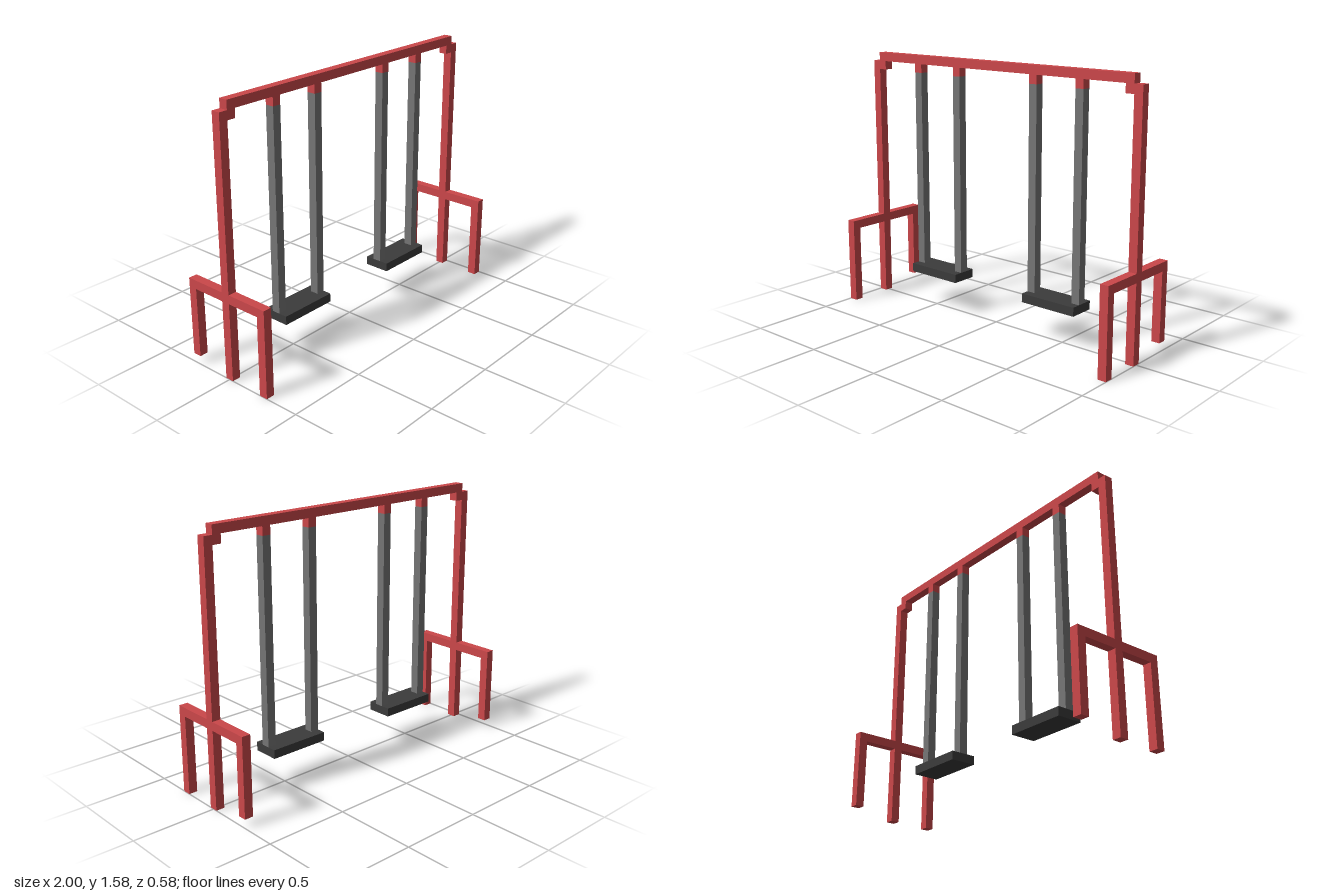
import * as THREE from 'three';

const U = 2 / 38; // one bar thickness

export function createModel() {
  const model = new THREE.Group();
  model.name = 'swingSet';

  const material = (name, color) => {
    const m = new THREE.MeshStandardMaterial({ color });
    m.name = name;
    return m;
  };
  const red = material('red frame', 0xcb474a);
  const grey = material('grey chain', 0x757575);
  const dark = material('dark seat', 0x3b3b3b);

  // Box spanning two corners, given in bar thicknesses
  const bar = (parent, name, mat, [x0, y0, z0], [x1, y1, z1]) => {
    const mesh = new THREE.Mesh(
      new THREE.BoxGeometry((x1 - x0) * U, (y1 - y0) * U, (z1 - z0) * U), mat);
    mesh.position.set((x0 + x1) / 2 * U, (y0 + y1) / 2 * U, (z0 + z1) / 2 * U);
    mesh.name = name;
    parent.add(mesh);
  };

  // Top beam
  bar(model, 'topBeam', red, [-18, 29, -0.5], [18, 30, 0.5]);

  for (const side of [-1, 1]) {
    const prefix = side > 0 ? 'left' : 'right';

    // End frame: post, corner bracket, foot rails and legs
    const frame = new THREE.Group();
    frame.name = prefix + 'Frame';
    model.add(frame);
    const x = side > 0 ? 18 : -19;
    const bx = side > 0 ? 17 : -18;
    bar(frame, 'post', red, [x, 0, -0.5], [x + 1, 29, 0.5]);
    bar(frame, 'cornerBracket', red, [bx, 28, -0.5], [bx + 1, 29, 0.5]);
    bar(frame, 'frontRail', red, [x, 9, 0.5], [x + 1, 10, 5.5]);
    bar(frame, 'backRail', red, [x, 9, -5.5], [x + 1, 10, -0.5]);
    bar(frame, 'frontLeg', red, [x, 0, 4.5], [x + 1, 9, 5.5]);
    // The back leg stops one thickness above the ground
    bar(frame, 'backLeg', red, [x, 1, -5.5], [x + 1, 9, -4.5]);

    // Swing: seat, two chains and their hangers
    const swing = new THREE.Group();
    swing.name = prefix + 'Swing';
    model.add(swing);
    const s = side > 0 ? 5 : -12;
    bar(swing, 'seat', dark, [s, 4, -1.5], [s + 7, 5, 1.5]);
    for (const c of [s, s + 6]) {
      bar(swing, 'chain', grey, [c, 5, -0.5], [c + 1, 28, 0.5]);
      bar(swing, 'hanger', red, [c, 28, -0.5], [c + 1, 29, 0.5]);
    }
  }
  return model;
}
